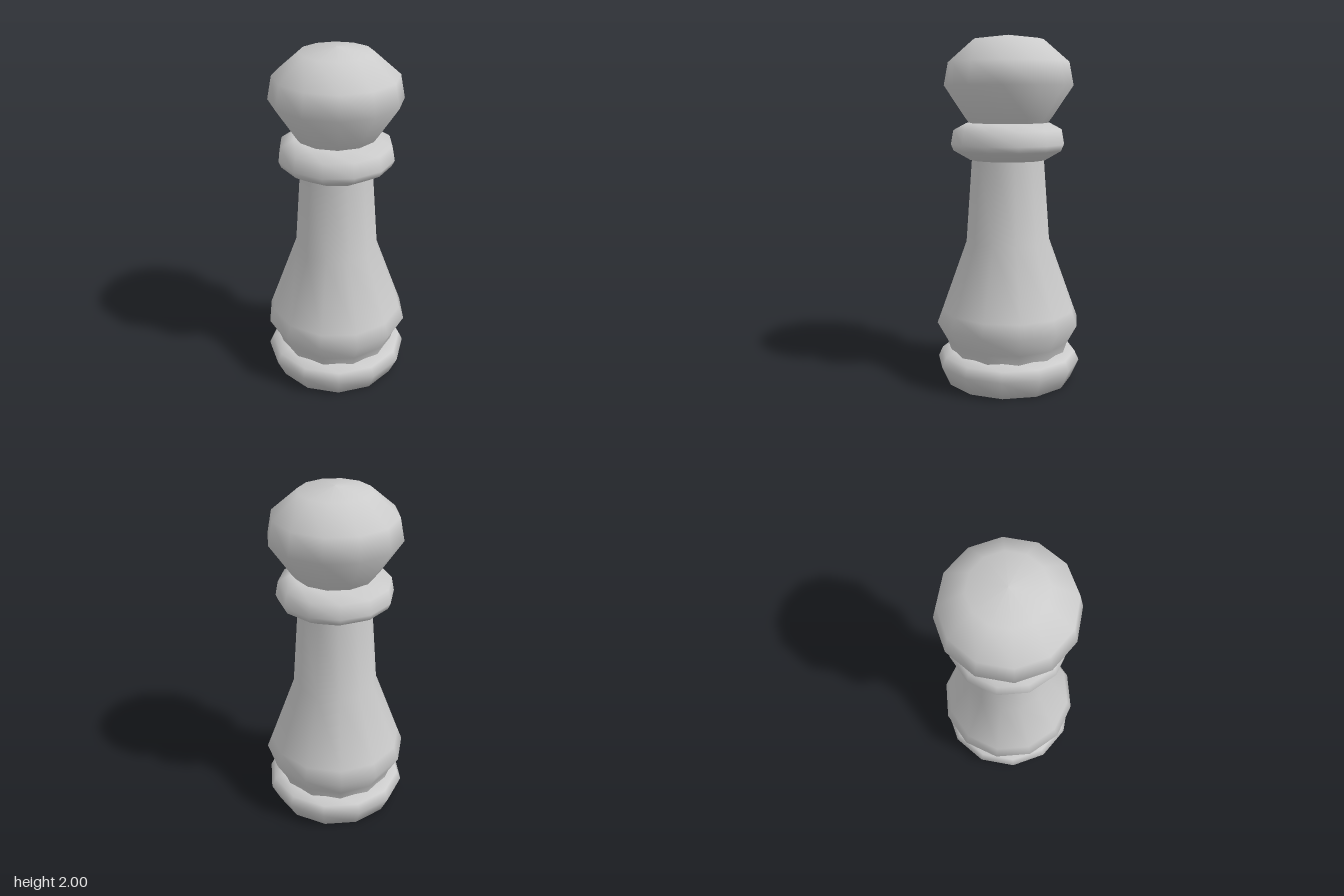
import * as THREE from 'three';

const SIDES = 12;

export function createModel() {
  const group = new THREE.Group();
  const stone = new THREE.MeshStandardMaterial({ color: 0xcccccc });
  stone.name = 'paleGrey';

  // Turned part from [radius, height] pairs, bottom to top; turn staggers the sides
  const turned = (name, profile, turn = 0) => {
    const points = profile.map(([r, y]) => new THREE.Vector2(r, y));
    const mesh = new THREE.Mesh(new THREE.LatheGeometry(points, SIDES, turn), stone);
    mesh.name = name;
    group.add(mesh);
  };
  const halfStep = Math.PI / SIDES;

  // Rounded foot, closed underneath
  turned('base', [[0, 0], [0.37, 0], [0.42, 0.11], [0.395, 0.165], [0.33, 0.19], [0, 0.19]], halfStep);

  // Flared body narrowing to the neck
  turned('body', [[0.34, 0.18], [0.36, 0.24], [0.42, 0.35], [0.39, 0.43], [0.245, 0.83], [0.21, 1.31]]);

  // Ring below the head
  turned('collar', [[0.19, 1.3], [0.22, 1.3], [0.315, 1.355], [0.33, 1.39], [0.315, 1.47], [0.24, 1.51], [0, 1.51]]);

  // Ball head with a slightly flattened crown
  turned('head', [[0.22, 1.5], [0.25, 1.54], [0.37, 1.72], [0.345, 1.85], [0.2, 1.975], [0, 2]], halfStep);

  return group;
}
